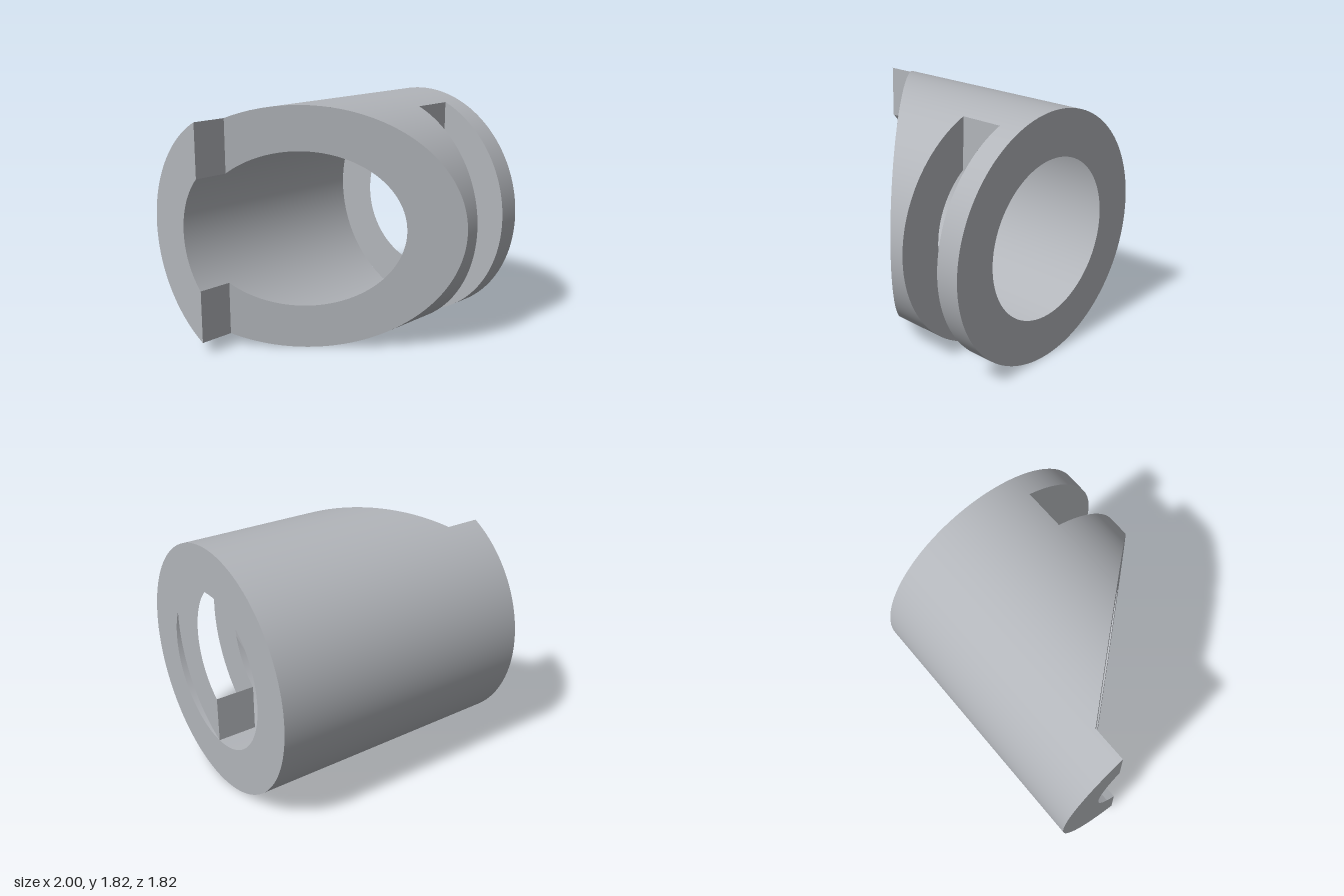
import * as THREE from 'three';
import { mergeGeometries } from 'three/addons/utils/BufferGeometryUtils.js';

const R = 0.908, BORE = 0.58, CY = 0.908; // thin hollow shell along x
const STEP_X = -0.737, STEP_Z = -0.408; // flat step at the left end
const TIP_X = 0.396; // where the slanted cut leaves the front of the shell
const SLOT_Z = 0.342, SLOT_X0 = 0.511, SLOT_X1 = 0.828;

const slantX = (z) => STEP_X + ((z - STEP_Z) * (TIP_X - STEP_X)) / (R - STEP_Z);

// Ruled strip between two curves p(t) and q(t); faces along dp/dt x (q - p)
function strip(p, q, t0, t1, n = 96) {
  const pos = [], index = [];
  for (let i = 0; i <= n; i++) {
    const t = t0 + ((t1 - t0) * i) / n;
    pos.push(...p(t), ...q(t));
    if (i < n) {
      const k = 2 * i;
      index.push(k, k + 2, k + 1, k + 2, k + 3, k + 1);
    }
  }
  const g = new THREE.BufferGeometry();
  g.setAttribute('position', new THREE.Float32BufferAttribute(pos, 3));
  g.setIndex(index);
  g.computeVertexNormals();
  return g;
}

// Curve on the cylinder of radius r, at x = fx(z)
const onTube = (r, fx) => (t) => {
  const z = r * Math.cos(t);
  return [fx(z), CY + r * Math.sin(t), z];
};
const at = (x) => () => x;

// Cylindrical wall with the slanted cut, the step and the slot left out
function outerWall() {
  const a1 = Math.acos(STEP_Z / R), a2 = Math.acos(SLOT_Z / R);
  const piece = (lo, hi, t0, t1) => strip(onTube(R, hi), onTube(R, lo), t0, t1);
  return mergeGeometries([
    piece(at(-1), at(1), a1, 2 * Math.PI - a1),
    piece(slantX, at(1), a2, a1),
    piece(slantX, at(1), -a1, -a2),
    piece(slantX, at(SLOT_X0), -a2, a2),
    piece(at(SLOT_X1), at(1), -a2, a2),
  ]);
}

// Flat ring face; limit is the z where it is clipped, back keeps the rear side
function ringFace(fx, { limit = null, back = false, toRight = false }) {
  const edge = (r) => {
    const a = limit === null ? Math.PI : Math.acos(limit / r);
    const [s, e] = back ? [a, 2 * Math.PI - a] : [-a, a];
    const curve = onTube(r, fx);
    return (u) => curve(s + (e - s) * u);
  };
  const o = edge(R), i = edge(BORE);
  return toRight ? strip(i, o, 0, 1, 192) : strip(o, i, 0, 1, 192);
}

// Pair of flat rectangles facing +z, above and below the opening
function flats(z, x0, x1) {
  const yo = Math.sqrt(R * R - z * z), yi = Math.sqrt(BORE * BORE - z * z);
  const line = (x) => (y) => [x, CY + y, z];
  return mergeGeometries([
    strip(line(x1), line(x0), yi, yo, 1),
    strip(line(x1), line(x0), -yo, -yi, 1),
  ]);
}

export function createModel() {
  const group = new THREE.Group();
  group.name = 'notchedSleeve';
  // Open shell without a bore lining, so its inside shows through the openings
  const steel = new THREE.MeshStandardMaterial({ color: 0xb2b5ba, side: THREE.DoubleSide });
  steel.name = 'steel grey';
  const add = (name, geometry) => {
    const mesh = new THREE.Mesh(geometry, steel);
    mesh.name = name;
    group.add(mesh);
  };

  add('outerWall', outerWall());

  // End faces
  add('rightEnd', ringFace(at(1), { toRight: true }));
  add('leftEnd', ringFace(at(-1), { limit: STEP_Z, back: true }));

  // Slanted cut and the step beside it
  add('slantedFace', ringFace(slantX, { limit: STEP_Z }));
  add('stepFlats', flats(STEP_Z, -1, STEP_X));

  // Slot across the front
  add('slotLeftSide', ringFace(at(SLOT_X0), { limit: SLOT_Z, toRight: true }));
  add('slotRightSide', ringFace(at(SLOT_X1), { limit: SLOT_Z }));
  add('slotFloor', flats(SLOT_Z, SLOT_X0, SLOT_X1));

  return group;
}
